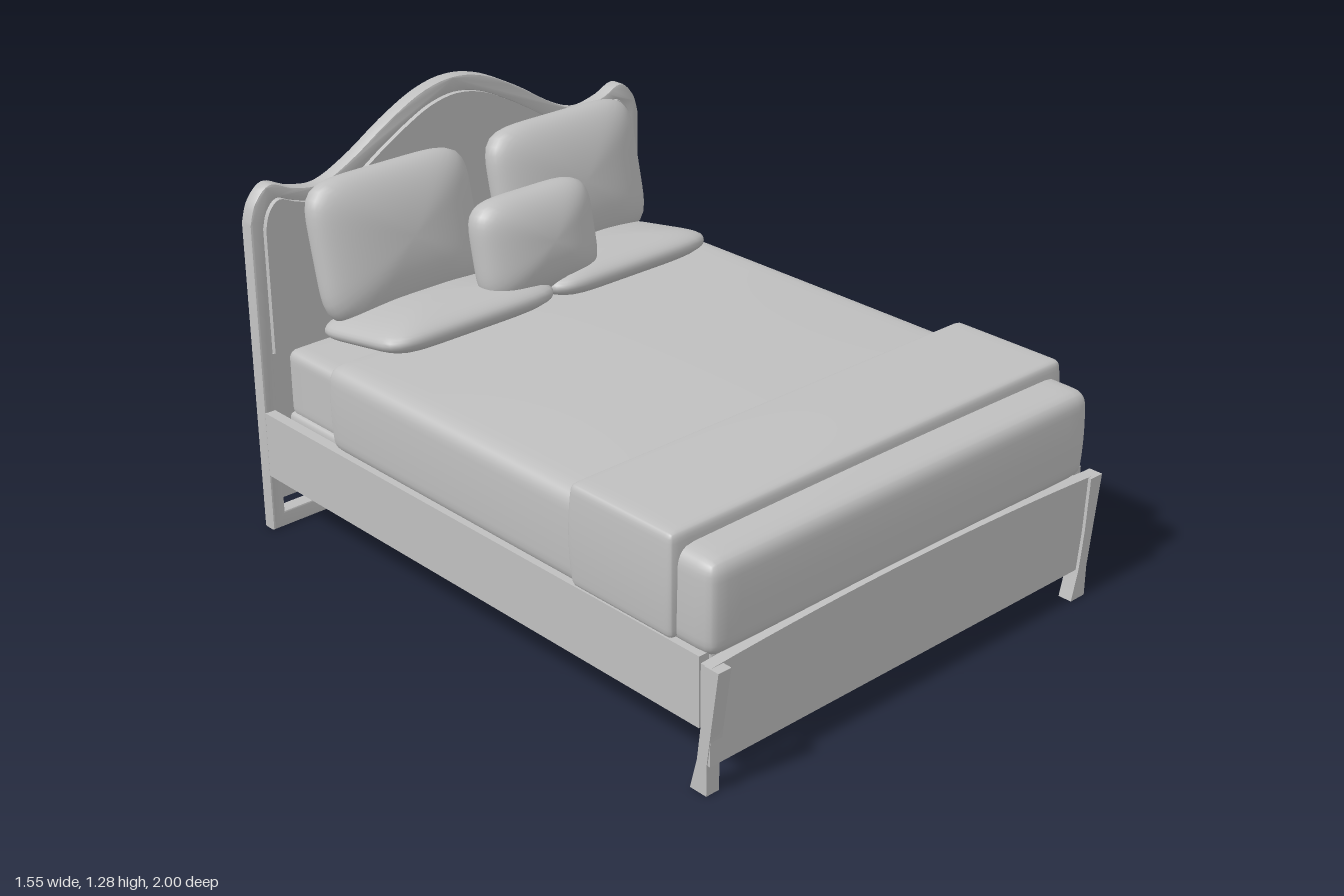
import * as THREE from 'three';
import { mergeVertices, toCreasedNormals } from 'three/addons/utils/BufferGeometryUtils.js';

const CX = -0.01; // centre line of the bed
const grey = new THREE.MeshStandardMaterial({ color: 0xbfbfbf });
grey.name = 'light grey';

function add(group, name, geometry, x = 0, y = 0, z = 0) {
  const mesh = new THREE.Mesh(geometry, grey);
  mesh.name = name;
  mesh.position.set(x, y, z);
  group.add(mesh);
  return mesh;
}

// weld the seams so the normals run smoothly round the form
function smooth(geometry) {
  geometry.deleteAttribute('uv');
  geometry.deleteAttribute('normal');
  const welded = mergeVertices(geometry, 1e-5);
  welded.computeVertexNormals();
  return welded;
}

// rounded block with a crowned top and bulging sides
function softBox(w, h, d, r, crown = 0, bulge = 0) {
  const geo = new THREE.BoxGeometry(2, 2, 2, 24, 20, 24);
  const half = new THREE.Vector3(w / 2, h / 2, d / 2);
  const inner = half.clone().subScalar(r);
  const p = new THREE.Vector3(), core = new THREE.Vector3();
  const pos = geo.attributes.position;
  for (let i = 0; i < pos.count; i++) {
    p.fromBufferAttribute(pos, i);
    // crowd the rows towards the edges
    p.set(...p.toArray().map((t) => Math.sin(t * Math.PI / 2))).multiply(half);
    core.copy(p).clamp(inner.clone().negate(), inner);
    p.sub(core).setLength(r).add(core);
    const u = p.x / half.x, v = p.y / half.y, t = p.z / half.z;
    p.y += Math.max(v, 0) * crown * (1 - u * u) * (1 - t * t);
    p.x += u * bulge * (1 - v * v);
    p.z += t * bulge * (1 - v * v);
    pos.setXYZ(i, p.x, p.y, p.z);
  }
  return smooth(geo);
}

// pillow: squarish outline in x-y, rounded thickness along z
function pillow(w, h, thick, n = 6) {
  const geo = new THREE.SphereGeometry(1, 64, 28).rotateX(Math.PI / 2);
  const pos = geo.attributes.position;
  for (let i = 0; i < pos.count; i++) {
    const x = pos.getX(i), y = pos.getY(i), z = pos.getZ(i);
    const r = Math.hypot(x, y);
    let k = 0;
    if (r > 1e-6) {
      const c = Math.abs(x / r), s = Math.abs(y / r);
      k = 1 / Math.pow(c ** n + s ** n, 1 / n);
    }
    pos.setXYZ(i, x * k * w / 2, y * k * h / 2, Math.sign(z) * Math.abs(z) ** 0.9 * thick / 2);
  }
  return smooth(geo);
}

// closed symmetrical outline: curved top from half a profile, straight sides
function archOutline(half, bottom) {
  const right = half.map(([x, y]) => new THREE.Vector2(x, y));
  const left = right.slice(1).reverse().map((p) => new THREE.Vector2(-p.x, p.y));
  const top = new THREE.SplineCurve([...left, ...right]).getPoints(72);
  const edge = right[right.length - 1].x;
  return [new THREE.Vector2(edge, bottom), ...top.reverse(), new THREE.Vector2(-edge, bottom)];
}

function slab(shape, depth, bevel = 0) {
  const geo = new THREE.ExtrudeGeometry(shape, {
    depth: depth - 2 * bevel, bevelEnabled: bevel > 0, bevelThickness: bevel,
    bevelSize: bevel, bevelOffset: -bevel, bevelSegments: 2, curveSegments: 16,
  });
  geo.translate(0, 0, bevel);
  return toCreasedNormals(geo, 0.5);
}

function headboard() {
  const g = new THREE.Group();
  g.name = 'headboard';
  const outer = [[0, 1.285], [0.12, 1.263], [0.25, 1.2], [0.38, 1.12], [0.5, 1.068],
    [0.6, 1.08], [0.68, 1.11], [0.735, 1.065], [0.757, 1.0]];
  const inner = [[0, 1.235], [0.1, 1.217], [0.2, 1.17], [0.29, 1.118], [0.4, 1.05], [0.5, 1.018],
    [0.6, 1.04], [0.66, 1.062], [0.697, 1.03], [0.712, 0.98]];
  const frame = new THREE.Shape(archOutline(outer, 0.003));
  frame.holes.push(new THREE.Path(archOutline(inner, 0.055)));
  add(g, 'headboardFrame', slab(frame, 0.048, 0.006), CX, 0, -1);
  // upper panel stands a little proud of the frame
  add(g, 'upperPanel', slab(new THREE.Shape(archOutline(inner, 0.585)), 0.052), CX, 0, -0.992);
  add(g, 'lowerPanel', new THREE.BoxGeometry(1.424, 0.48, 0.03), CX, 0.338, -0.975);
  return g;
}

function footboard() {
  const g = new THREE.Group();
  g.name = 'footboard';
  const board = new THREE.Shape();
  board.moveTo(-0.757, 0.095).lineTo(0.757, 0.095).lineTo(0.757, 0.385);
  board.quadraticCurveTo(0, 0.432, -0.757, 0.385);
  add(g, 'footPanel', slab(board, 0.036), CX, 0, 0.934);

  // splayed legs, the second turned a quarter round
  const leg = new THREE.Shape([[0.675, 0.003], [0.735, 0.003], [0.736, 0.1], [0.752, 0.22],
    [0.775, 0.385], [0.725, 0.385], [0.715, 0.22], [0.7, 0.1]].map((p) => new THREE.Vector2(...p)));
  const legGeo = slab(leg, 0.045);
  add(g, 'leftFootLeg', legGeo, 0, 0, 0.935);
  add(g, 'rightFootLeg', legGeo, -0.725, 0, 0.225).rotation.y = -Math.PI / 2;
  return g;
}

export function createModel() {
  const bed = new THREE.Group();
  bed.name = 'bed';
  bed.add(headboard(), footboard());

  // side rails
  for (const [side, name] of [[1, 'leftRail'], [-1, 'rightRail']]) {
    add(bed, name, new THREE.BoxGeometry(0.034, 0.21, 1.88), CX + side * 0.738, 0.295, -0.014);
  }

  // base and mattress
  add(bed, 'base', softBox(1.39, 0.25, 1.83, 0.02), CX, 0.275, -0.008);
  add(bed, 'mattress', softBox(1.37, 0.22, 1.83, 0.03, 0.015), CX, 0.49, -0.012);

  // bedding
  add(bed, 'duvet', softBox(1.476, 0.28, 1.6, 0.045, 0.02, 0.006), CX, 0.52, 0.152);
  add(bed, 'throwBlanket', softBox(1.515, 0.305, 0.385, 0.02, 0.008, 0.008), CX, 0.55, 0.635);

  // a flat and a standing pillow on each side
  for (const [side, label] of [[1, 'left'], [-1, 'right']]) {
    const x = CX + side * 0.312;
    add(bed, label + 'FlatPillow', pillow(0.63, 0.41, 0.125, 7), x, 0.698, -0.655).rotation.x = -Math.PI / 2 - 0.17;
    add(bed, label + 'StandingPillow', pillow(0.58, 0.44, 0.2), CX + side * 0.336, 0.9, -0.826).rotation.x = -0.22;
  }
  add(bed, 'smallPillow', pillow(0.44, 0.32, 0.205, 5), CX, 0.862, -0.588).rotation.x = -0.2;

  return bed;
}
